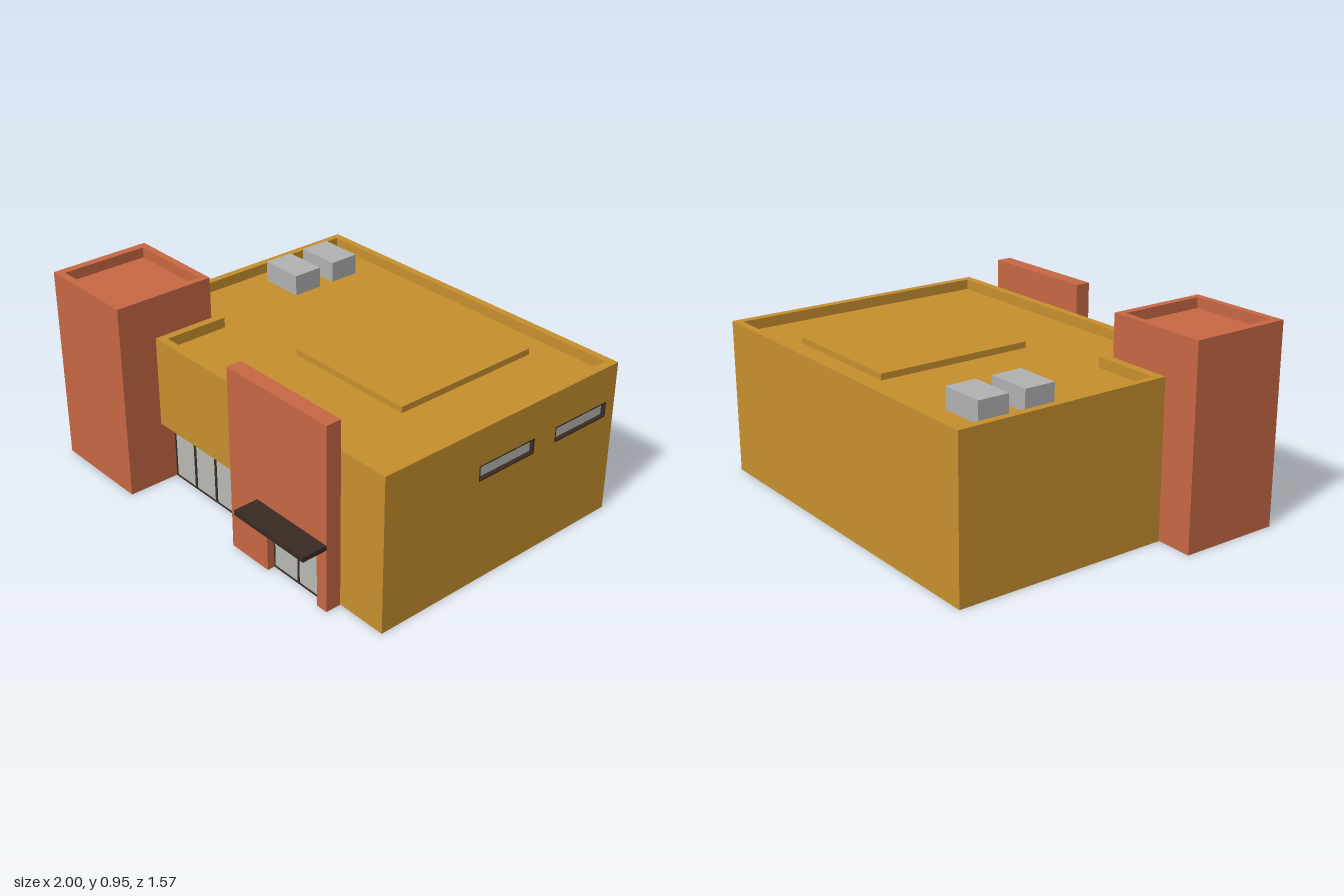
import * as THREE from 'three';

const paint = (color) => new THREE.MeshStandardMaterial({ color, side: THREE.DoubleSide });

export function createModel() {
  const ochre = paint(0xc8902e), brick = paint(0xc86844), dark = paint(0x3a2a22);
  const glass = paint(0xb8bab2), metal = paint(0xb2b2b2);
  const model = new THREE.Group();

  function add(name, geometry, material, parent = model) {
    const mesh = new THREE.Mesh(geometry, material);
    mesh.name = name;
    parent.add(mesh);
    return mesh;
  }
  function group(name) {
    const g = new THREE.Group();
    g.name = name;
    model.add(g);
    return g;
  }
  // Box from its minimum and maximum corners
  function box(name, [x0, y0, z0], [x1, y1, z1], material, parent) {
    const g = new THREE.BoxGeometry(x1 - x0, y1 - y0, z1 - z0);
    g.translate((x0 + x1) / 2, (y0 + y1) / 2, (z0 + z1) / 2);
    return add(name, g, material, parent);
  }
  // Upright sheets along a plan path of [x, z] points
  function walls(path, y0, y1) {
    const p = [];
    for (let i = 0; i + 1 < path.length; i++) {
      const [ax, az] = path[i], [bx, bz] = path[i + 1];
      p.push(ax, y0, az, bx, y0, bz, bx, y1, bz, ax, y0, az, bx, y1, bz, ax, y1, az);
    }
    const g = new THREE.BufferGeometry();
    g.setAttribute('position', new THREE.Float32BufferAttribute(p, 3));
    g.computeVertexNormals();
    return g;
  }
  const closed = (path) => [...path, path[0]];
  const points = (list) => list.map(([a, b]) => new THREE.Vector2(a, b));
  const rect = (x0, y0, x1, y1) => [[x0, y0], [x1, y0], [x1, y1], [x0, y1]];
  function shapeOf(outline, holes = []) {
    const s = new THREE.Shape(points(outline));
    holes.forEach((h) => s.holes.push(new THREE.Path(points(h))));
    return s;
  }
  // Flat sheet on a plan outline
  function slab(outline, y, holes = []) {
    const flip = (o) => o.map(([x, z]) => [x, -z]);
    return new THREE.ShapeGeometry(shapeOf(flip(outline), holes.map(flip)))
      .rotateX(-Math.PI / 2).translate(0, y, 0);
  }
  // Sunken roof inside a parapet
  function parapetRoof(outer, inner, top, roof, material, parent) {
    add('parapetTop', slab(outer, top, [inner]), material, parent);
    add('parapetInside', walls(closed(inner), roof, top), material, parent);
    add('roof', slab(inner, roof), material, parent);
  }
  // Row of panes in a dark frame
  function glazing(name, x0, x1, h, z, count, edge, bar) {
    const g = group(name);
    const w = (x1 - x0 - 2 * edge - (count - 1) * bar) / count;
    const panes = [];
    for (let i = 0; i < count; i++) {
      const x = x0 + edge + i * (w + bar);
      panes.push(rect(x, 0.01, x + w, h - edge));
      box('pane', [x, 0.01, z + 0.002], [x + w, h - edge, z + 0.008], glass, g);
    }
    const frame = new THREE.ExtrudeGeometry(shapeOf(rect(x0, 0.001, x1, h), panes),
      { depth: 0.01, bevelEnabled: false });
    add('frame', frame.translate(0, 0, z), dark, g);
  }

  // Main hall: hollow shell, open below, with a recess along the shop front
  const hall = group('mainHall');
  const F = 0.585, B = -0.785, nx = -0.488, nz = 0.272, rz = 0.505, rh = 0.31;
  const rear = [[nx, nz], [-0.82, nz], [-0.82, B], [1, B]];
  add('lowerWalls', walls([[1, F], [0.13, F], [0.13, rz], [nx, rz], ...rear], 0, rh), ochre, hall);
  add('upperWalls', walls([[1, F], [nx, F], ...rear], rh, 0.75), ochre, hall);
  add('recessSoffit', slab(rect(nx, rz, 0.13, F), rh), ochre, hall);
  parapetRoof([[1, F], [nx, F], ...rear],
    [[0.96, 0.545], [-0.45, 0.545], [-0.45, 0.23], [-0.785, 0.23], [-0.785, -0.75], [0.96, -0.75]],
    0.75, 0.7, ochre, hall);

  // Right wall with two slot windows
  const slots = [[-0.06, 0.27], [0.4, 0.73]];
  const sideWall = shapeOf(rect(-F, 0, -B, 0.75), slots.map(([a, b]) => rect(a, 0.5, b, 0.575)));
  add('rightWall', new THREE.ShapeGeometry(sideWall).rotateY(Math.PI / 2).translate(1, 0, 0), ochre, hall);
  for (const [a, b] of slots) {
    const t = 0.006;
    const ring = shapeOf(rect(a, 0.5, b, 0.575), [rect(a + t, 0.5 + t, b - t, 0.575 - t)]);
    const frame = new THREE.ExtrudeGeometry(ring, { depth: 0.03, bevelEnabled: false });
    add('sideWindowFrame', frame.rotateY(Math.PI / 2).translate(0.97, 0, 0), dark);
    box('sideWindowPane', [0.972, 0.5 + t, -b + t], [0.98, 0.575 - t, -a - t], glass);
  }

  // Corner tower
  const tower = group('cornerTower');
  const plan = rect(-1, 0.275, -0.49, 0.77);
  add('towerWalls', walls(closed(plan), 0, 0.95), brick, tower);
  add('towerBase', slab(plan, 0), brick, tower);
  parapetRoof(plan, rect(-0.96, 0.31, -0.525, 0.735), 0.95, 0.9, brick, tower);

  // Entrance panel with door opening, and canopy
  const entry = shapeOf([[0.13, 0], [0.37, 0], [0.37, rh], [0.69, rh], [0.69, 0],
    [0.75, 0], [0.75, 0.89], [0.13, 0.89]]);
  add('entrancePanel', new THREE.ExtrudeGeometry(entry, { depth: 0.075, bevelEnabled: false })
    .translate(0, 0, F + 0.001), brick);
  box('canopy', [0.31, 0.31, 0.66], [0.75, 0.333, 0.785], dark);

  glazing('shopFront', nx + 0.002, 0.13, rh, rz + 0.001, 4, 0.01, 0.016);
  glazing('entranceDoors', 0.37, 0.69, rh, 0.615, 2, 0.006, 0.012);

  // Rooftop
  box('roofPlatform', [-0.03, 0.7, -0.62], [0.64, 0.73, 0.155], ochre);
  for (const z of [-0.61, -0.38]) {
    box('airUnit', [-0.71, 0.7, z], [-0.49, 0.8, z + 0.15], metal);
  }
  return model;
}
